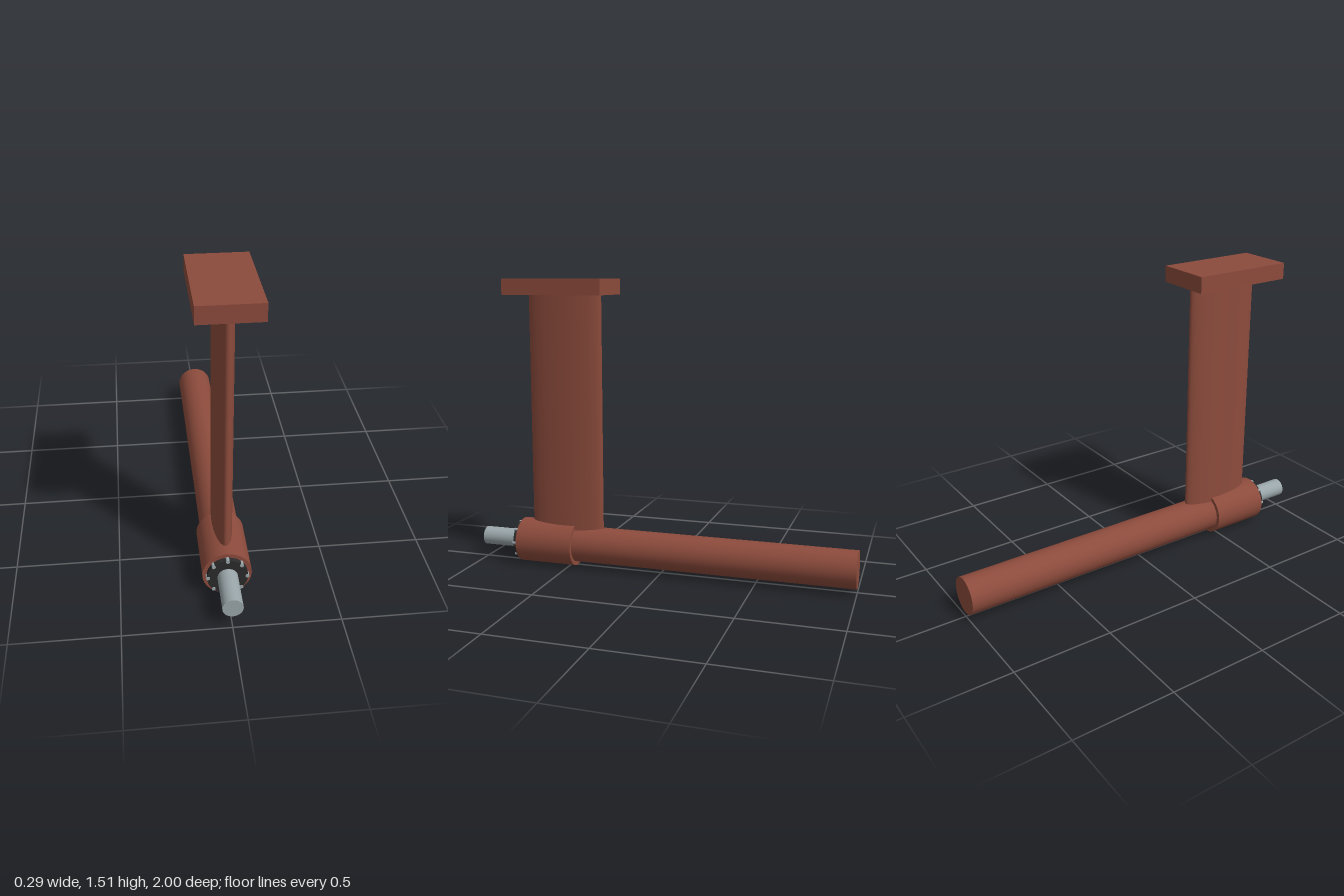
import * as THREE from 'three';

export function createModel() {
  const paint = new THREE.MeshStandardMaterial({ name: 'red oxide paint', color: 0x8c4b3c });
  const steel = new THREE.MeshStandardMaterial({ name: 'bare steel', color: 0x9aa6aa });
  const rubber = new THREE.MeshStandardMaterial({ name: 'black seal', color: 0x2b2b2b });

  const group = new THREE.Group();
  group.name = 'shaftBracket';
  const axisY = 0.118;

  const add = (name, geometry, material, x, y, z) => {
    const mesh = new THREE.Mesh(geometry, material);
    mesh.name = name;
    mesh.position.set(x, y, z);
    group.add(mesh);
    return mesh;
  };

  // Cylinder lying along z between two z positions
  const rod = (name, radius, z0, z1, material, x = 0, y = axisY, sides = 48) => {
    const geometry = new THREE.CylinderGeometry(radius, radius, z1 - z0, sides).rotateX(Math.PI / 2);
    return add(name, geometry, material, x, y, (z0 + z1) / 2);
  };

  // Horizontal tube, bearing hub, seal and shaft share one axis
  rod('sternTube', 0.095, -1, 0.5, paint);
  rod('bearingHub', 0.116, 0.465, 0.775, paint);
  rod('sealRing', 0.096, 0.77, 0.798, rubber);
  rod('shaft', 0.048, 0.6, 1, steel);

  // Ring of bolts on the seal
  for (let i = 0; i < 8; i++) {
    const a = (i / 8) * Math.PI * 2;
    rod('sealBolt', 0.009, 0.775, 0.802, steel, Math.cos(a) * 0.092, axisY + Math.sin(a) * 0.092, 12);
  }

  // Elliptical strut rising to the mounting plate
  const strutBottom = axisY, strutTop = 1.44;
  const strut = add('strut', new THREE.CylinderGeometry(1, 1, strutTop - strutBottom, 24), paint,
    0, (strutBottom + strutTop) / 2, 0.517);
  strut.scale.set(0.047, 1, 0.2);

  add('mountingPlate', new THREE.BoxGeometry(0.29, 0.082, 0.53), paint, 0, 1.469, 0.534);

  return group;
}
